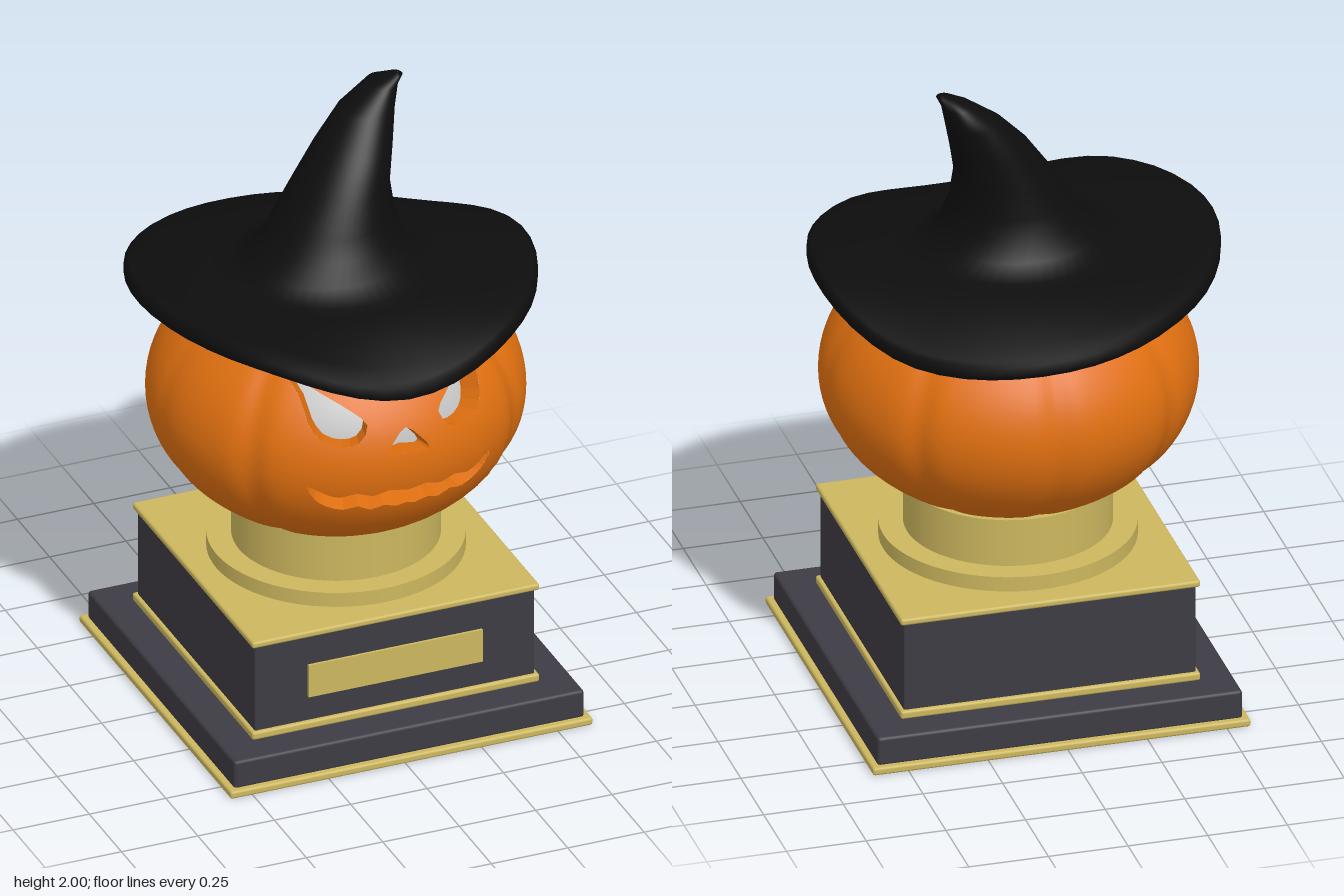
import * as THREE from 'three';
import { RoundedBoxGeometry } from 'three/addons/geometries/RoundedBoxGeometry.js';

const material = (name, color, side = THREE.FrontSide) => {
  const m = new THREE.MeshStandardMaterial({ color, side });
  m.name = name;
  return m;
};

// Pumpkin surface: u is the angle from the front, v the latitude
const A = 0.575, B = 0.42, CX = 0.016, CY = 1.01;
const GROOVES = [[50, 0.026], [90, 0.008], [135, 0.024], [180, 0.024], [225, 0.024], [270, 0.008], [310, 0.026]];
function pumpkinPoint(u, v, scale = 1) {
  let g = 1;
  for (const [deg, depth] of GROOVES) {
    const d = Math.atan2(Math.sin(u - deg * Math.PI / 180), Math.cos(u - deg * Math.PI / 180));
    g -= depth * Math.exp(-((d / 0.085) ** 2));
  }
  const r = A * g * Math.cos(v) * scale;
  return new THREE.Vector3(CX + r * Math.sin(u), CY + B * scale * Math.sin(v), r * Math.cos(u));
}

// Bends a flat (u, v) geometry onto the pumpkin
function wrapOnPumpkin(geo) {
  const p = geo.attributes.position, n = [], e = 0.004;
  for (let i = 0; i < p.count; i++) {
    const u = p.getX(i), v = p.getY(i), s = pumpkinPoint(u, v);
    const du = pumpkinPoint(u + e, v).sub(pumpkinPoint(u - e, v));
    const dv = pumpkinPoint(u, v + e).sub(pumpkinPoint(u, v - e));
    const nor = du.cross(dv).normalize();
    p.setXYZ(i, s.x, s.y, s.z);
    n.push(nor.x, nor.y, nor.z);
  }
  geo.setAttribute('normal', new THREE.Float32BufferAttribute(n, 3));
  return geo;
}

// Splits every triangle in four, several times
function subdivide(geo, levels) {
  let pos = Array.from(geo.toNonIndexed().attributes.position.array);
  for (let l = 0; l < levels; l++) {
    const out = [];
    for (let i = 0; i < pos.length; i += 9) {
      const a = pos.slice(i, i + 3), b = pos.slice(i + 3, i + 6), c = pos.slice(i + 6, i + 9);
      const mid = (p, q) => p.map((x, k) => (x + q[k]) / 2);
      const ab = mid(a, b), bc = mid(b, c), ca = mid(c, a);
      out.push(...a, ...ab, ...ca, ...ab, ...b, ...bc, ...ca, ...bc, ...c, ...ab, ...bc, ...ca);
    }
    pos = out;
  }
  const g = new THREE.BufferGeometry();
  g.setAttribute('position', new THREE.Float32BufferAttribute(pos, 3));
  return g;
}

// Face openings, seen from the front: x from the middle, y height
const EYE = [[0.302, 1.284], [0.216, 1.238], [0.154, 1.2], [0.116, 1.162], [0.148, 1.114],
  [0.2, 1.103], [0.254, 1.12], [0.28, 1.167], [0.286, 1.236]];
const NOSE = [[0, 1.142], [0.042, 1.108], [0.07, 1.07], [0.055, 1.06], [0, 1.07]];
const MOUTH = [[0, 0.937], [0.06, 0.948], [0.11, 0.932], [0.16, 0.946], [0.21, 0.932], [0.25, 0.946], [0.3, 0.972],
  [0.275, 0.922], [0.24, 0.895], [0.19, 0.88], [0.15, 0.893], [0.11, 0.874], [0.07, 0.888], [0.03, 0.876], [0, 0.884]];
const flip = (pts) => pts.map(([x, y]) => [-x, y]);
const whole = (half) => [...half, ...flip(half.slice(1, -1)).reverse()];

function contour(pts) {
  const curve = new THREE.CatmullRomCurve3(pts.map(([x, y]) => new THREE.Vector3(x, y, 0)), true);
  const out = curve.getPoints(pts.length * 2).slice(0, -1).map(({ x, y }) => {
    const v = Math.asin((y - CY) / B);
    return new THREE.Vector2(Math.asin(x / (A * Math.cos(v))), v);
  });
  return THREE.ShapeUtils.isClockWise(out) ? out.reverse() : out;
}

// Wall of a carved opening, running inward from its contour
function carvedWall(pts) {
  const pos = [];
  pts.forEach((p, i) => {
    const q = pts[(i + 1) % pts.length];
    const a = pumpkinPoint(p.x, p.y), b = pumpkinPoint(q.x, q.y);
    const c = pumpkinPoint(q.x, q.y, 0.84), d = pumpkinPoint(p.x, p.y, 0.84);
    for (const w of [a, b, c, a, c, d]) pos.push(w.x, w.y, w.z);
  });
  const g = new THREE.BufferGeometry();
  g.setAttribute('position', new THREE.Float32BufferAttribute(pos, 3));
  g.computeVertexNormals();
  return g;
}

// Skin over closed rings; each ring maps an angle to a point
function loft(rings, n) {
  const pos = [], index = [];
  rings.forEach((ring, r) => {
    for (let i = 0; i < n; i++) {
      pos.push(...ring(i / n * Math.PI * 2));
      if (r === 0) continue;
      const j = (i + 1) % n, a = (r - 1) * n + i, b = (r - 1) * n + j, c = r * n + j, d = r * n + i;
      index.push(a, b, c, a, c, d);
    }
  });
  const g = new THREE.BufferGeometry();
  g.setAttribute('position', new THREE.Float32BufferAttribute(pos, 3));
  g.setIndex(index);
  g.computeVertexNormals();
  return g;
}

function hatGeometry() {
  // Height of the wavy brim edge, every 45 degrees from the front
  const heights = [1.335, 1.405, 1.435, 1.335, 1.35, 1.41, 1.47, 1.445];
  const wave = new THREE.CatmullRomCurve3(heights.map((h, i) => new THREE.Vector3(i, h, 0)), true, 'catmullrom', 0.5);
  const edge = (a) => wave.getPoint(a / (Math.PI * 2)).y;
  const brim = (r, y) => (a) => [r * Math.sin(a), y(a), r * Math.cos(a)];
  const mix = THREE.MathUtils.lerp;
  const rings = [];
  for (let i = 0; i <= 5; i++) { // underside
    const t = i / 5;
    rings.push(brim(mix(0.3, 0.61, t), (a) => mix(1.365, edge(a) - 0.06, t ** 1.3)));
  }
  rings.push(brim(0.625, (a) => edge(a) - 0.045), brim(0.625, (a) => edge(a) - 0.012));
  for (let i = 0; i <= 6; i++) { // upper side
    const t = 1 - i / 6;
    rings.push(brim(mix(0.31, 0.61, t), (a) => mix(1.445, edge(a), t ** 1.6)));
  }
  // Bent crown: height, centre x, radius x, centre z, radius z
  const crown = [[1.475, -0.01, 0.26, 0, 0.235], [1.54, 0.01, 0.212, -0.005, 0.2], [1.6, 0.015, 0.185, -0.01, 0.18],
    [1.7, 0.045, 0.145, -0.025, 0.155], [1.8, 0.09, 0.12, -0.045, 0.125], [1.9, 0.148, 0.088, -0.08, 0.085],
    [1.97, 0.205, 0.047, -0.09, 0.057], [1.995, 0.24, 0.024, -0.075, 0.025], [2, 0.248, 0.001, -0.073, 0.001]];
  for (const [y, cx, rx, cz, rz] of crown) {
    rings.push((a) => [cx + rx * Math.sin(a), y, cz + rz * Math.cos(a)]);
  }
  return loft(rings, 48);
}

export function createModel() {
  const model = new THREE.Group();
  const gold = material('gold', 0xcbb65e);
  const dark = material('dark grey', 0x3d3b43);
  const orange = material('pumpkin orange', 0xdf6f10);
  const black = material('hat black', 0x0d0d0d);
  const pale = material('pale grey', 0xc4c4c4);
  const add = (name, geo, mat, parent = model) => {
    const mesh = new THREE.Mesh(geo, mat);
    mesh.name = name;
    parent.add(mesh);
    return mesh;
  };

  // Stepped square pedestal
  const pedestal = new THREE.Group();
  pedestal.name = 'pedestal';
  pedestal.position.set(0.02, 0, -0.007);
  model.add(pedestal);
  const slab = (name, w, y0, y1, mat, r) =>
    add(name, new RoundedBoxGeometry(w, y1 - y0, w, 2, r), mat, pedestal).position.y = (y0 + y1) / 2;
  slab('bottomTrim', 1.185, 0, 0.025, gold, 0.008);
  slab('lowerStep', 1.145, 0.02, 0.115, dark, 0.01);
  slab('middleTrim', 0.94, 0.113, 0.14, gold, 0.008);
  slab('upperBlock', 0.915, 0.135, 0.432, dark, 0.004);
  slab('topTrim', 0.94, 0.43, 0.452, gold, 0.008);
  add('plaque', new THREE.BoxGeometry(0.57, 0.11, 0.009), gold, pedestal).position.set(0, 0.277, 0.462);

  // Round stand
  const disc = (name, r, y0, y1) =>
    add(name, new THREE.CylinderGeometry(r, r, y1 - y0, 64), gold, pedestal).position.y = (y0 + y1) / 2;
  disc('standRing', 0.392, 0.45, 0.5);
  disc('standColumn', 0.317, 0.5, 0.655);

  // Pumpkin: carved front sector and plain back sector
  const pumpkin = new THREE.Group();
  pumpkin.name = 'pumpkin';
  model.add(pumpkin);
  const U = 1.15, V = 1.5;
  const outline = [[-U, -V], [0, -V], [U, -V], [U, -V / 3], [U, V / 3], [U, V], [0, V], [-U, V], [-U, V / 3], [-U, -V / 3]];
  const front = new THREE.Shape(outline.map(([x, y]) => new THREE.Vector2(x, y)));
  const openings = { leftEye: EYE, rightEye: flip(EYE), nose: whole(NOSE), mouth: whole(MOUTH) };
  for (const [name, pts] of Object.entries(openings)) {
    const c = contour(pts);
    front.holes.push(new THREE.Path(c));
    add(name + 'Wall', carvedWall(c), orange, pumpkin);
  }
  add('carvedFront', wrapOnPumpkin(subdivide(new THREE.ShapeGeometry(front), 4)), orange, pumpkin);
  const back = new THREE.PlaneGeometry(2 * (Math.PI - U), 2 * V, 128, 48).translate(Math.PI, 0, 0);
  add('pumpkinBack', wrapOnPumpkin(back), orange, pumpkin);

  // Pale core seen through the openings
  const core = add('core', new THREE.SphereGeometry(1, 48, 32), pale, pumpkin);
  core.scale.set(A * 0.87, B * 0.87, A * 0.87);
  core.position.set(CX, CY, 0);

  add('hat', hatGeometry(), black);
  return model;
}
